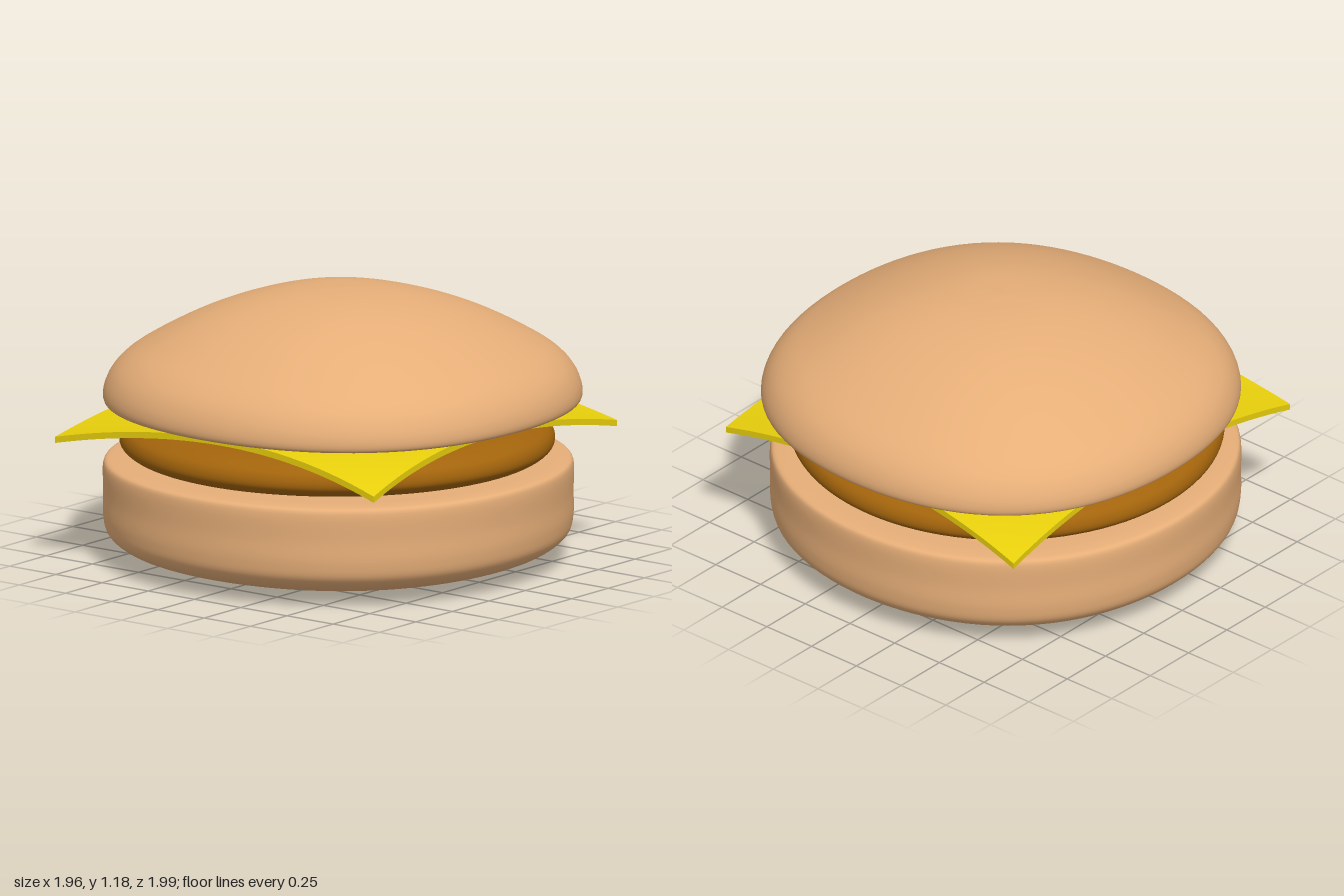
import * as THREE from 'three';
import { mergeVertices } from 'three/addons/utils/BufferGeometryUtils.js';

const material = (color) => new THREE.MeshStandardMaterial({ color });

// Smooth turned solid; squareness pushes its outline out along the diagonals
function turnedPart(name, profile, squareness, mat, x, z) {
  const curve = new THREE.CatmullRomCurve3(
    profile.map(([r, y]) => new THREE.Vector3(r, y, 0)), false, 'centripetal');
  const points = curve.getPoints(72).map((p) => new THREE.Vector2(Math.max(p.x, 0), p.y));
  const lathe = new THREE.LatheGeometry(points, 96);
  const pos = lathe.attributes.position;
  for (let i = 0; i < pos.count; i++) {
    const angle = Math.atan2(pos.getX(i), pos.getZ(i));
    const k = 1 + squareness * Math.sin(2 * angle) ** 2;
    pos.setX(i, pos.getX(i) * k);
    pos.setZ(i, pos.getZ(i) * k);
  }
  lathe.deleteAttribute('uv');
  lathe.deleteAttribute('normal');
  const geometry = mergeVertices(lathe, 1e-5);
  geometry.computeVertexNormals();
  const mesh = new THREE.Mesh(geometry, mat);
  mesh.name = name;
  mesh.position.set(x, 0, z);
  return mesh;
}

// Thin square slice, edges pinched in and corners drooping
function cheeseSlice(mat) {
  const corners = [ // x, z and droop, by back/front then right/left
    [[-0.82, -0.89, 0.105], [0.84, -0.83, 0.1]],
    [[-0.85, 0.88, 0.105], [0.855, 0.855, 0.125]],
  ];
  const geometry = new THREE.BoxGeometry(2, 0.027, 2, 28, 1, 28);
  const pos = geometry.attributes.position;
  const lerp = THREE.MathUtils.lerp;
  for (let i = 0; i < pos.count; i++) {
    const u = pos.getX(i), v = pos.getZ(i);
    const s = (u + 1) / 2, t = (v + 1) / 2;
    const [x, z, droop] = [0, 1, 2].map((k) => lerp(
      lerp(corners[0][0][k], corners[0][1][k], s),
      lerp(corners[1][0][k], corners[1][1][k], s), t));
    pos.setXYZ(i,
      x - 0.03 * u * (1 - v * v),
      0.658 + pos.getY(i) - droop * u * u * v * v,
      z - 0.03 * v * (1 - u * u));
  }
  geometry.computeVertexNormals();
  const mesh = new THREE.Mesh(geometry, mat);
  mesh.name = 'cheeseSlice';
  return mesh;
}

export function createModel() {
  const group = new THREE.Group();
  group.name = 'burger';
  const bun = material(0xe6ae78);

  // Bottom bun: soft base, straight wall, small rounded rim
  group.add(turnedPart('bottomBun', [
    [0, 0.003], [0.3, 0.008], [0.6, 0.022], [0.8, 0.048], [0.91, 0.085], [0.965, 0.135],
    [0.98, 0.2], [0.98, 0.3], [0.98, 0.42], [0.97, 0.44], [0.93, 0.449], [0.8, 0.45], [0, 0.45],
  ], 0.02, bun, 0, 0.015));

  // Patty: flattened disc with a round edge
  group.add(turnedPart('patty', [
    [0, 0.452], [0.6, 0.452], [0.78, 0.458], [0.88, 0.478], [0.92, 0.51], [0.925, 0.54],
    [0.91, 0.575], [0.86, 0.605], [0.78, 0.626], [0.6, 0.641], [0.3, 0.645], [0, 0.645],
  ], 0, material(0xa3640c), -0.003, 0.02));

  group.add(cheeseSlice(material(0xe8cf0c)));

  // Top bun: flat underside and domed crown
  group.add(turnedPart('topBun', [
    [0, 0.68], [0.8, 0.68], [0.93, 0.683], [0.97, 0.69], [0.98, 0.71], [0.975, 0.76],
    [0.945, 0.825], [0.89, 0.885], [0.79, 0.952], [0.6, 1.052], [0.4, 1.125], [0.2, 1.168], [0, 1.181],
  ], 0.04, bun, 0, -0.015));

  return group;
}
